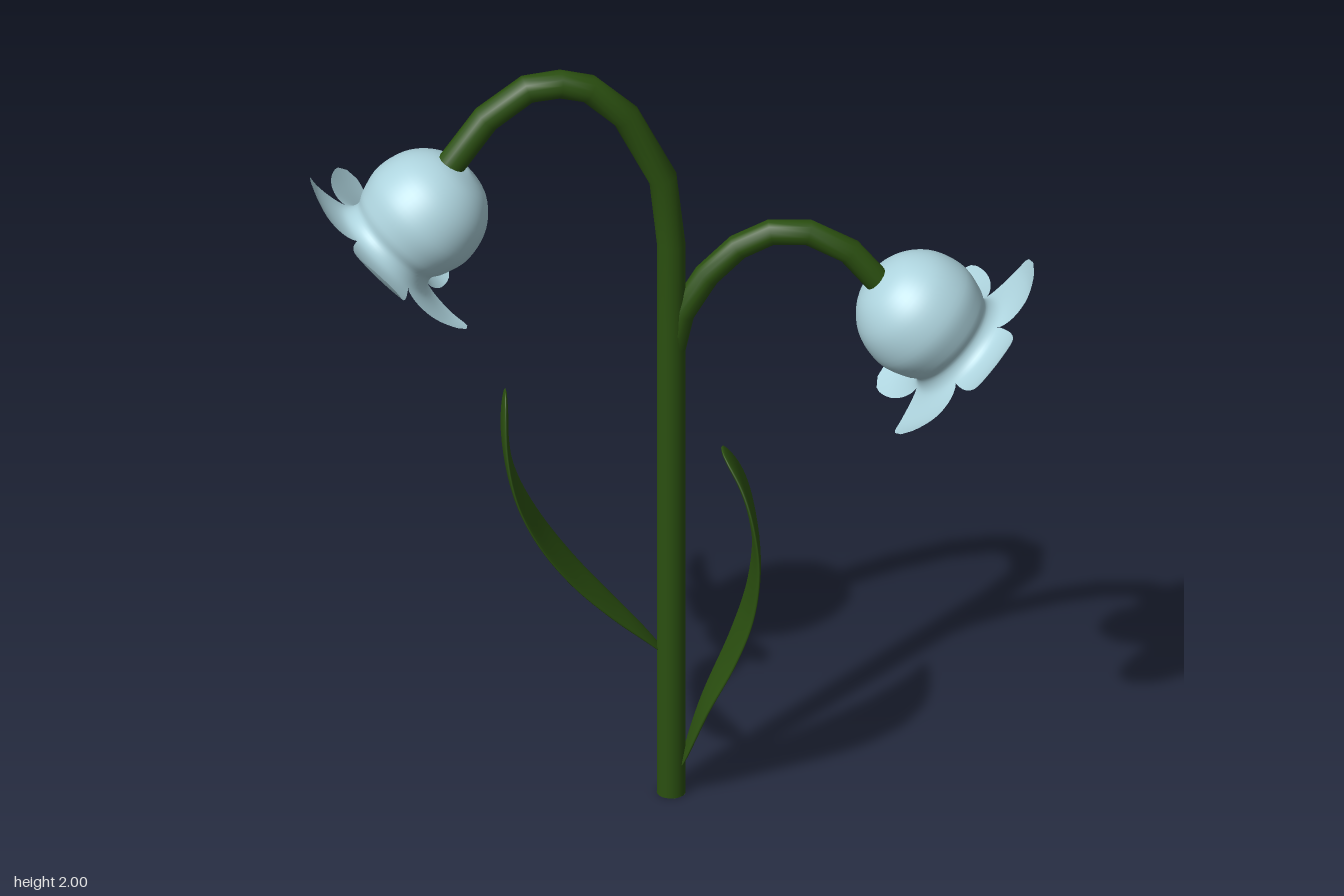
import * as THREE from 'three';
import { ParametricGeometry } from 'three/addons/geometries/ParametricGeometry.js';
import { mergeGeometries, mergeVertices } from 'three/addons/utils/BufferGeometryUtils.js';

const green = new THREE.MeshStandardMaterial({ color: 0x2b5010, side: THREE.DoubleSide });
const blue = new THREE.MeshStandardMaterial({ color: 0xaed4de, side: THREE.DoubleSide });
const V = (x, y, z) => new THREE.Vector3(x, y, z);

function mesh(name, geometry, material) {
  const m = new THREE.Mesh(geometry, material);
  m.name = name;
  return m;
}

// Welds the seams of a surface and shades it smoothly
function smooth(geometry) {
  geometry.deleteAttribute('uv');
  geometry.deleteAttribute('normal');
  const welded = mergeVertices(geometry, 1e-5);
  welded.computeVertexNormals();
  return welded;
}

// Path that bends only at its given points, for coarsely segmented stalks
class BentPath extends THREE.Curve {
  constructor(points) { super(); this.points = points; }
  index(u) { return Math.round(u * (this.points.length - 1)); }
  getPointAt(u) { return this.points[this.index(u)].clone(); }
  getTangentAt(u) {
    const i = this.index(u), p = this.points;
    const a = p[Math.max(i - 1, 0)], b = p[i], c = p[Math.min(i + 1, p.length - 1)];
    return b.clone().sub(a).normalize().add(c.clone().sub(b).normalize()).normalize();
  }
}

function stalk(name, points, radius) {
  const path = new BentPath(points.map(p => V(...p)));
  return mesh(name, new THREE.TubeGeometry(path, points.length - 1, radius, 14), green);
}

// Thin leaf: flat oval section swept along a curve in the xy plane
function leaf(name, points, width, swell, power, z0, zTip) {
  const spine = new THREE.SplineCurve(points.map(p => new THREE.Vector2(...p)));
  const surface = (u, v, target) => {
    const p = spine.getPoint(v), t = spine.getTangent(v);
    const breadth = Math.pow(Math.max(0, Math.sin(Math.PI * Math.pow(v, swell))), power);
    const a = u * Math.PI * 2;
    const n = 0.009 * Math.sin(a) * Math.min(1, breadth * 2);
    const z = z0 + (zTip - z0) * v * v + width * breadth * Math.cos(a);
    target.set(p.x - t.y * n, p.y + t.x * n, z);
  };
  return mesh(name, smooth(new ParametricGeometry(surface, 20, 40)), green);
}

// Bell profile (radius, depth); petals split off at the neck
const profile = new THREE.SplineCurve([
  [0, -0.155], [0.078, -0.134], [0.134, -0.078], [0.155, 0], [0.141, 0.065],
  [0.125, 0.1], [0.14, 0.13], [0.18, 0.14], [0.23, 0.135], [0.275, 0.115],
].map(p => new THREE.Vector2(...p)));
const NECK = 5 / 9;

function bellGeometry() {
  const sector = (u, v, target) => {
    const p = profile.getPoint(v);
    const r = Math.max(p.x, 0);
    const k = Math.max(0, (v - NECK) / (1 - NECK));
    const half = k > 0
      ? (0.0785 + 0.02 * Math.sin(Math.PI * k * 0.8)) * Math.sqrt(Math.max(0, 1 - k ** 3.5)) / r
      : Math.PI / 5;
    const a = (u * 2 - 1) * Math.min(half, Math.PI / 5);
    target.set(r * Math.cos(a), p.y, r * Math.sin(a));
  };
  const sectors = [];
  for (let i = 0; i < 5; i++) {
    sectors.push(new ParametricGeometry(sector, 14, 45).rotateY(i * Math.PI * 2 / 5));
  }
  return smooth(mergeGeometries(sectors));
}

// Nodding flower, local +y pointing out of its mouth
function flower(name, height) {
  const f = new THREE.Group();
  f.name = name;
  f.add(mesh('bellAndPetals', bellGeometry(), blue));
  const pistil = mesh('pistil', new THREE.CylinderGeometry(0.006, 0.006, 0.22, 8), blue);
  pistil.position.y = -0.04;
  const tip = mesh('pistilTip', new THREE.SphereGeometry(0.012, 10, 8), blue);
  tip.position.y = 0.07;
  f.add(pistil, tip);

  const y = V(-0.7, -0.71, 0.05).normalize();
  const x = V(-0.18, 0.194, 0.03);
  x.addScaledVector(y, -x.dot(y)).normalize();
  const z = x.clone().cross(y);
  f.quaternion.setFromRotationMatrix(new THREE.Matrix4().makeBasis(x, y, z));
  f.position.set(-0.6, height, 0.042);
  return f;
}

export function createModel() {
  const model = new THREE.Group();
  model.name = 'bellFlowerPlant';
  const z = -0.035;

  // Stem and side branch
  model.add(stalk('mainStem', [
    [0, 0, z], [0, 0.4, z], [0, 0.8, z], [0, 1.2, z], [0, 1.5, z], [-0.02, 1.68, z + 0.002],
    [-0.11, 1.86, z + 0.015], [-0.2, 1.945, z + 0.028], [-0.27, 1.965, z + 0.038],
    [-0.35, 1.96, z + 0.05], [-0.45, 1.89, z + 0.065], [-0.56, 1.74, z + 0.08],
  ], 0.035));
  const cap = mesh('stemBase', new THREE.CircleGeometry(0.035, 14).rotateX(Math.PI / 2), green);
  cap.position.set(0, 0, z);
  model.add(cap);
  model.add(stalk('sideBranch', [
    [0, 1.2, z], [0.025, 1.31, z], [0.085, 1.41, z], [0.16, 1.485, z], [0.24, 1.523, z],
    [0.33, 1.52, z], [0.43, 1.465, z], [0.54, 1.33, z],
  ], 0.032));

  // Leaves
  model.add(leaf('leftLeaf', [
    [0.02, 0.07], [0.08, 0.24], [0.147, 0.39], [0.19, 0.52], [0.205, 0.65],
    [0.192, 0.77], [0.165, 0.86], [0.12, 0.94],
  ], 0.107, 1.1, 0.55, -0.025, -0.03));
  model.add(leaf('rightLeaf', [
    [0, 0.36], [-0.065, 0.43], [-0.15, 0.515], [-0.24, 0.615], [-0.32, 0.73],
    [-0.375, 0.85], [-0.4, 0.98], [-0.4, 1.125],
  ], 0.105, 1.4, 0.65, -0.045, -0.02));

  // Flowers, the lower one turned half way round the stem
  model.add(flower('upperFlower', 1.645));
  const turned = new THREE.Group();
  turned.name = 'lowerFlowerMount';
  turned.rotation.y = Math.PI;
  turned.add(flower('lowerFlower', 1.285));
  model.add(turned);
  return model;
}
